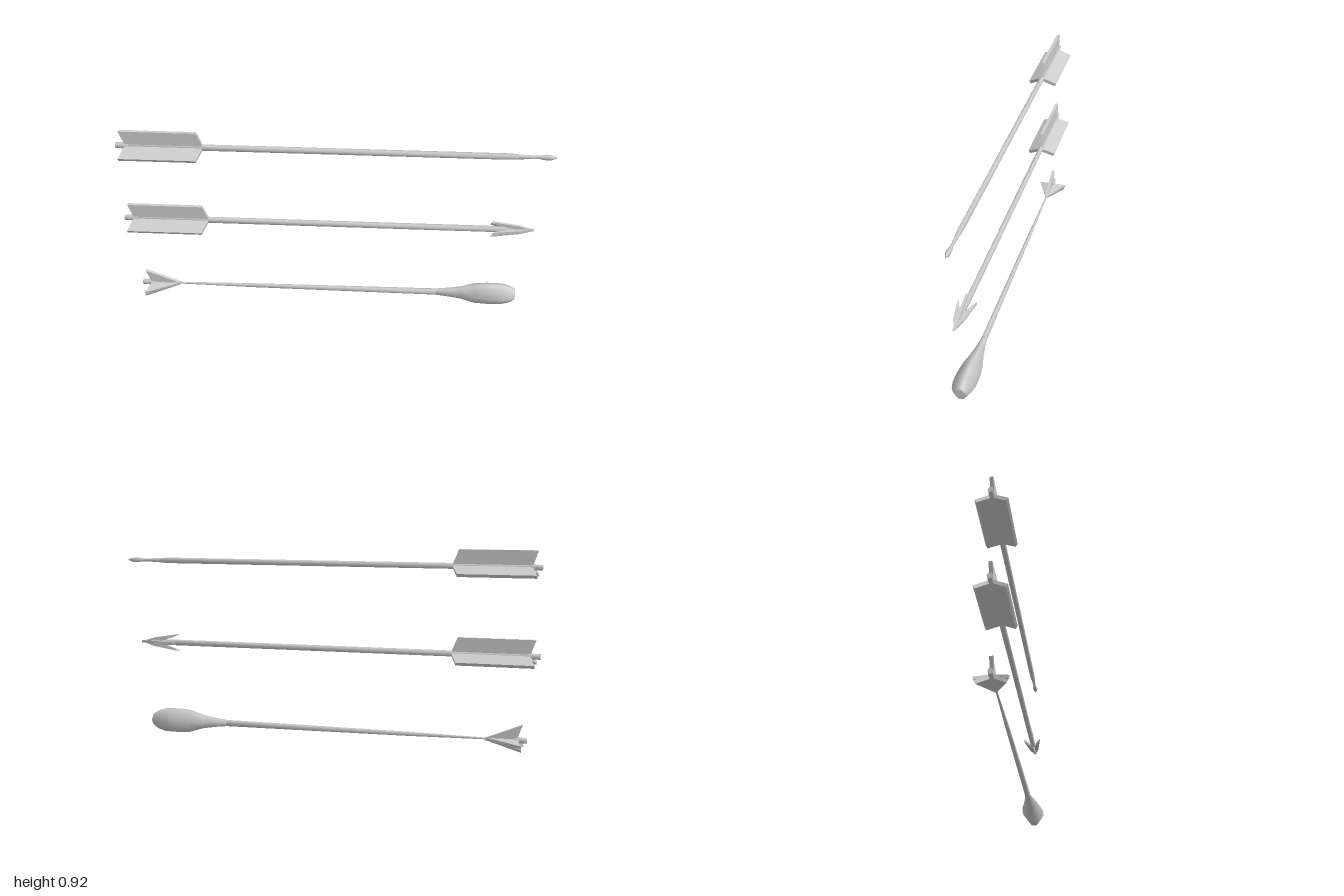
import * as THREE from 'three';

const material = new THREE.MeshStandardMaterial({ color: 0xcccccc });

function addMesh(parent, geometry, name) {
  const mesh = new THREE.Mesh(geometry, material);
  mesh.name = name;
  parent.add(mesh);
  return mesh;
}

// Six-sided loft along x. Each section is [x, halfHeight, halfDepth, flat],
// where flat is the half width of the top and bottom facets over halfDepth.
function loft(sections) {
  const pos = [], idx = [];
  const ring = ([x, h, d = h, flat = 0.5]) => {
    const start = pos.length / 3;
    const corners = [[0, 1], [1, flat], [1, -flat], [0, -1], [-1, -flat], [-1, flat]];
    for (const [y, z] of corners) pos.push(x, y * h, z * d);
    return start;
  };
  const starts = sections.map(ring);
  for (let i = 0; i < starts.length - 1; i++) {
    for (let j = 0; j < 6; j++) {
      const k = (j + 1) % 6, a = starts[i], b = starts[i + 1];
      idx.push(a + j, b + j, a + k, a + k, b + j, b + k);
    }
  }
  // End caps with their own vertices stay sharp
  const back = ring(sections[0]), front = ring(sections[sections.length - 1]);
  for (let j = 1; j < 5; j++) {
    idx.push(back, back + j, back + j + 1, front, front + j + 1, front + j);
  }
  const geometry = new THREE.BufferGeometry();
  geometry.setAttribute('position', new THREE.Float32BufferAttribute(pos, 3));
  geometry.setIndex(idx);
  geometry.computeVertexNormals();
  return geometry;
}

// Flat blade: an (x, radius) outline given thickness and turned about the shaft
function addBlade(parent, outline, thickness, angle, name) {
  const shape = new THREE.Shape(outline.map(([x, r]) => new THREE.Vector2(x, r)));
  const geometry = new THREE.ExtrudeGeometry(shape, { depth: thickness, bevelEnabled: false });
  geometry.translate(0, 0, -thickness / 2);
  geometry.rotateX(angle);
  addMesh(parent, geometry, name);
}

function addVanes(parent, outline, thickness) {
  const vanes = new THREE.Group();
  vanes.name = 'fletching';
  for (let i = 0; i < 3; i++) addBlade(vanes, outline, thickness, i * Math.PI * 2 / 3, 'vane');
  parent.add(vanes);
  return vanes;
}

function addNock(parent, x) {
  addMesh(parent, loft([[x, 0.012], [x + 0.028, 0.012], [x + 0.034, 0.014], [x + 0.06, 0.014]]), 'nock');
}

const longVane = [[-0.98, 0.076], [-0.955, 0.004], [-0.6, 0.004], [-0.6, 0.014], [-0.625, 0.076]];

// Plain arrow with a slim bodkin point
function bodkinArrow() {
  const arrow = new THREE.Group();
  arrow.name = 'bodkinArrow';
  addNock(arrow, -1);
  addMesh(arrow, loft([[-0.96, 0.013], [0.78, 0.013], [0.83, 0.011]]), 'shaft');
  addMesh(arrow, loft([[0.79, 0.012], [0.9, 0.007], [0.925, 0.007], [0.955, 0.012], [0.975, 0.011], [1, 0.003]]), 'bodkinPoint');
  addVanes(arrow, longVane, 0.016);
  return arrow;
}

// Arrow with a four-bladed barbed head
function barbedArrow() {
  const arrow = new THREE.Group();
  arrow.name = 'barbedArrow';
  addNock(arrow, -1);
  addMesh(arrow, loft([[-0.96, 0.013], [0.8, 0.013], [0.94, 0.002]]), 'shaft');
  addVanes(arrow, longVane, 0.016);
  const head = new THREE.Group();
  head.name = 'barbedHead';
  const barb = [[0.94, 0], [0.875, 0.021], [0.74, 0.042], [0.765, 0.029], [0.81, 0.014], [0.81, 0]];
  for (let i = 0; i < 4; i++) addBlade(head, barb, 0.012, i * Math.PI / 2, 'barb');
  arrow.add(head);
  return arrow;
}

// Arrow with a tapered shaft swelling into a blunt head
function bluntArrow() {
  const arrow = new THREE.Group();
  arrow.name = 'bluntArrow';
  addNock(arrow, -0.95);
  addMesh(arrow, loft([[-0.9, 0.012], [-0.86, 0.011], [-0.76, 0.004], [-0.4, 0.009], [0.1, 0.012], [0.5, 0.014]]), 'shaft');
  addMesh(arrow, loft([
    [0.49, 0.013, 0.013, 0.5], [0.56, 0.021, 0.021, 0.4], [0.62, 0.031, 0.031, 0.3],
    [0.69, 0.053, 0.046, 0.25], [0.75, 0.057, 0.053, 0.22], [0.82, 0.056, 0.053, 0.22],
    [0.86, 0.044, 0.044, 0.25], [0.885, 0.026, 0.028, 0.3],
  ]), 'bluntHead');
  const flare = [[-0.93, 0.073], [-0.905, 0.004], [-0.76, 0], [-0.76, 0.003]];
  const vanes = addVanes(arrow, flare, 0.016);
  // Second, slightly raised feather on each lower vane
  for (const side of [-1, 1]) addBlade(vanes, flare, 0.014, side * Math.PI * 0.58, 'sideVane');
  return arrow;
}

export function createModel() {
  const model = new THREE.Group();
  model.name = 'arrowSet';
  [[bodkinArrow, 0.85], [barbedArrow, 0.448], [bluntArrow, 0.059]].forEach(([build, y]) => {
    const arrow = build();
    arrow.position.y = y;
    model.add(arrow);
  });
  return model;
}
